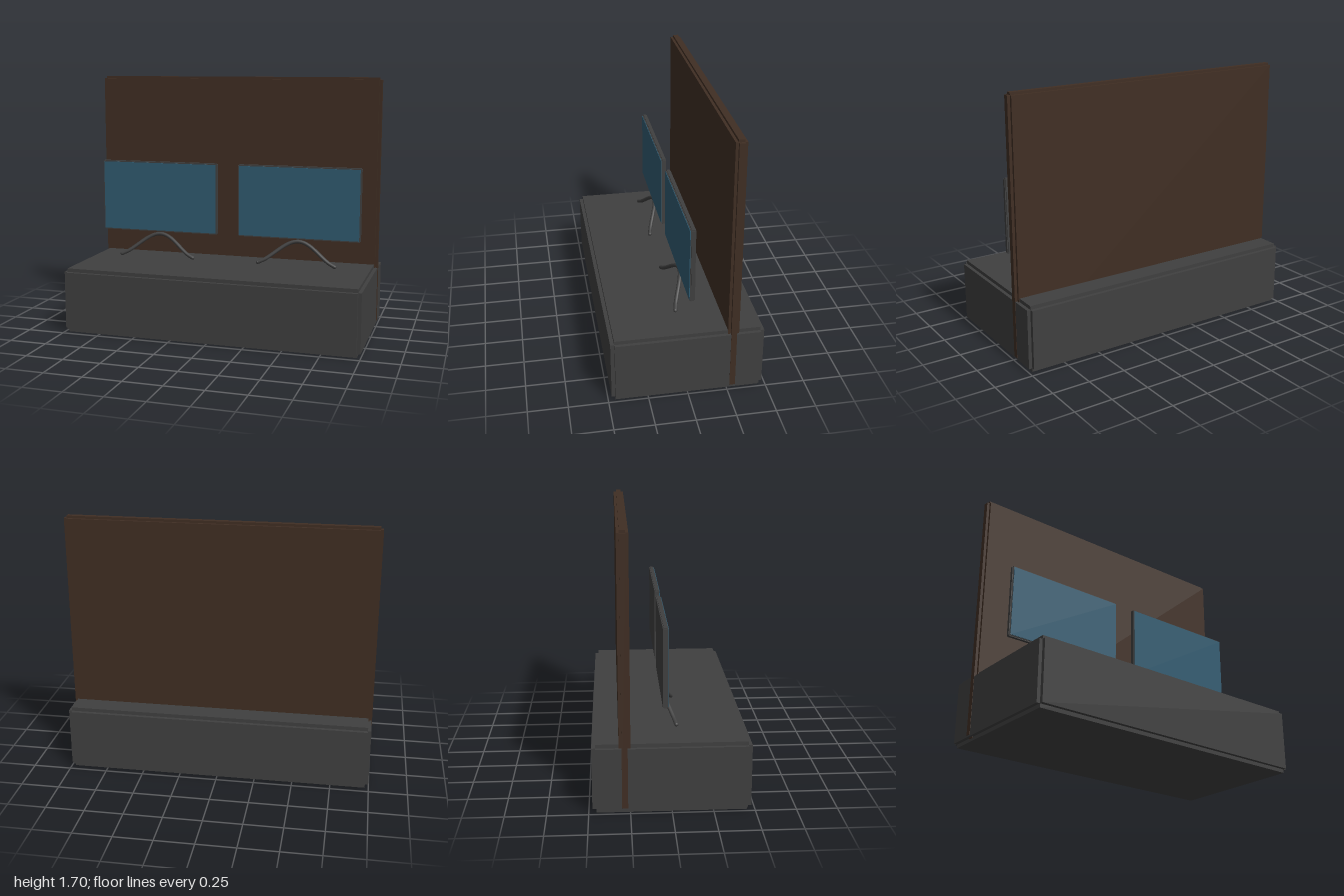
import * as THREE from 'three';

const mat = (name, color) => {
  const m = new THREE.MeshStandardMaterial({ color });
  m.name = name;
  return m;
};

// Box with stepped (rebated) edges: three crossed boxes, each short of the full size on two axes
function steppedBox(name, size, step, material) {
  const group = new THREE.Group();
  group.name = name;
  const [w, h, d] = size;
  const [sx, sy, sz] = step.map((s) => s * 2);
  const cores = [
    [w, h - sy, d - sz],
    [w - sx, h, d - sz],
    [w - sx, h - sy, d],
  ];
  cores.forEach((c, i) => {
    const mesh = new THREE.Mesh(new THREE.BoxGeometry(...c), material);
    mesh.name = name + ['Sides', 'TopBottom', 'FrontBack'][i];
    group.add(mesh);
  });
  return group;
}

export function createModel() {
  const model = new THREE.Group();
  model.name = 'deskWithScreens';
  const grey = mat('charcoal', 0x404040);
  const brown = mat('darkBrown', 0x402e23);
  const blue = mat('screenBlue', 0x305b71);

  // Low base block
  const base = steppedBox('base', [1.996, 0.436, 0.956], [0.022, 0.024, 0.024], grey);
  base.position.y = 0.218;
  model.add(base);

  // Tall back panel, sunk through the base with its side edges showing
  const panel = steppedBox('backPanel', [2, 1.684, 0.07], [0.018, 0.016, 0.017], brown);
  panel.position.set(0, 0.86, -0.282);
  model.add(panel);

  // Two monitors on arched feet
  for (const side of [-1, 1]) {
    const monitor = new THREE.Group();
    monitor.name = side < 0 ? 'rightMonitor' : 'leftMonitor';
    monitor.position.x = side * 0.494;

    const frame = steppedBox('monitorFrame', [0.84, 0.492, 0.032], [0.006, 0.006, 0.006], grey);
    frame.position.set(0, 0.873, -0.036);
    monitor.add(frame);

    const screen = new THREE.Mesh(new THREE.BoxGeometry(0.822, 0.474, 0.005), blue);
    screen.name = 'screen';
    screen.position.set(0, 0.873, -0.0185);
    monitor.add(screen);

    // Bell-shaped foot leaning forward towards its ends
    const points = [];
    for (let i = 0; i <= 12; i++) {
      const t = (i / 12) * 2 - 1;
      const rise = 0.5 + 0.5 * Math.cos(t * Math.PI * 0.86);
      const k = (rise - 0.048) / 0.952;
      points.push(new THREE.Vector3(t * 0.262, 0.468 + 0.142 * k, 0.039 - 0.074 * k));
    }
    const curve = new THREE.CatmullRomCurve3(points);
    const foot = new THREE.Mesh(new THREE.TubeGeometry(curve, 32, 0.013, 10), grey);
    foot.name = 'foot';
    monitor.add(foot);

    // Rounded foot tips
    for (const p of [points[0], points[12]]) {
      const tip = new THREE.Mesh(new THREE.SphereGeometry(0.013, 10, 8), grey);
      tip.name = 'footTip';
      tip.position.copy(p);
      monitor.add(tip);
    }
    model.add(monitor);
  }
  return model;
}
